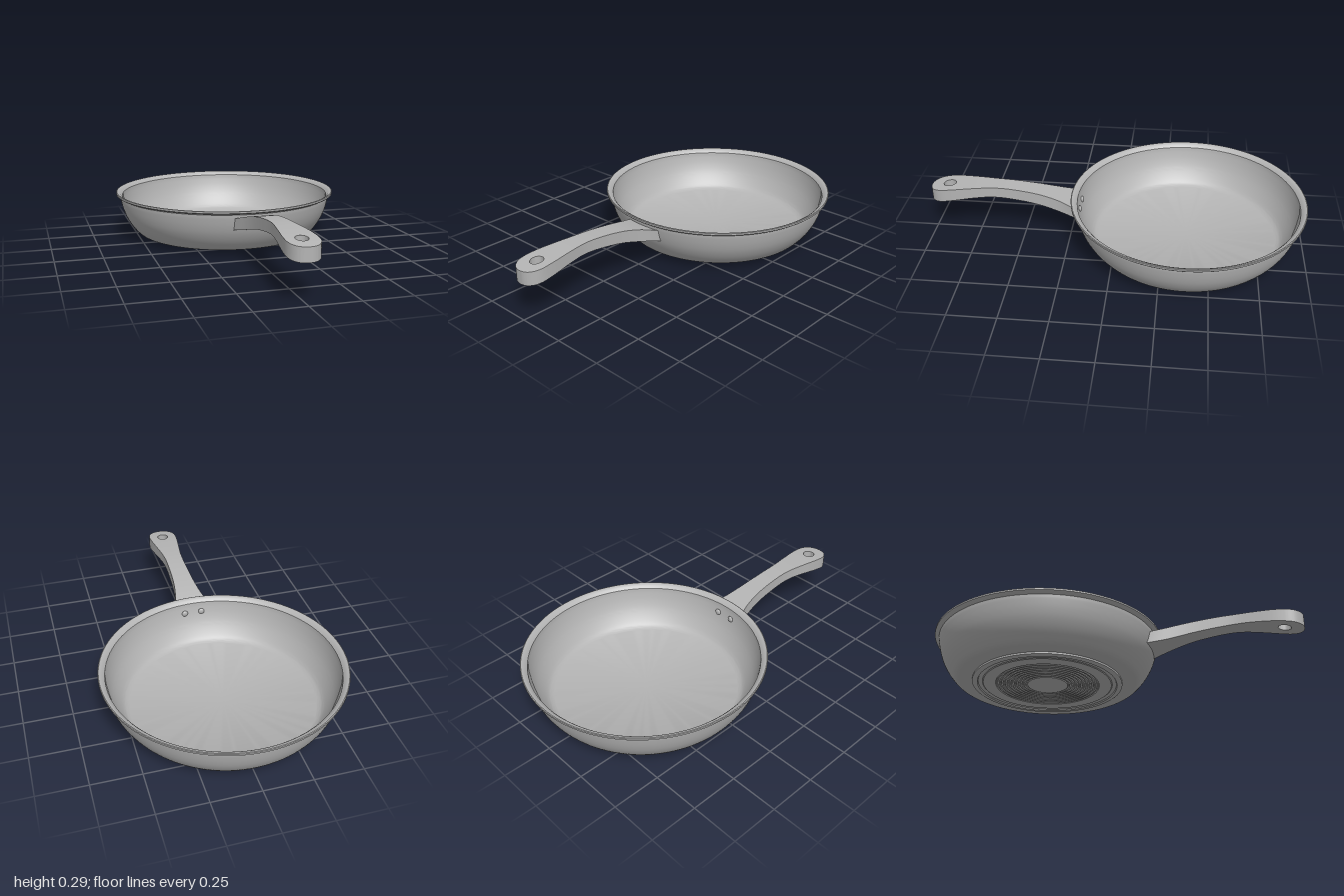
import * as THREE from 'three';
import { mergeGeometries, toCreasedNormals } from 'three/addons/utils/BufferGeometryUtils.js';

const PAN_Z = -0.38;
const metal = new THREE.MeshStandardMaterial({ color: 0xb4b4b4 });
metal.name = 'grey metal';

const mesh = (name, geometry) => {
  const m = new THREE.Mesh(geometry, metal);
  m.name = name;
  return m;
};

// Smooth run of profile points through a few key points
const smooth = (pts, n) =>
  new THREE.SplineCurve(pts.map(p => new THREE.Vector2(...p))).getPoints(n);

const lathe = (points, crease) => toCreasedNormals(new THREE.LatheGeometry(points, 128), crease);

// Smooth interpolation of [position, value] pairs
function sample(pts, z) {
  const last = pts.length - 1;
  const slope = k => {
    const a = pts[Math.max(k - 1, 0)], b = pts[Math.min(k + 1, last)];
    return (b[1] - a[1]) / (b[0] - a[0]);
  };
  let i = 0;
  while (i < last - 1 && z > pts[i + 1][0]) i++;
  const [z0, v0] = pts[i], [z1, v1] = pts[i + 1];
  const h = z1 - z0, t = (z - z0) / h, t2 = t * t, t3 = t2 * t;
  return (2 * t3 - 3 * t2 + 1) * v0 + (t3 - 2 * t2 + t) * h * slope(i)
    + (3 * t2 - 2 * t3) * v1 + (t3 - t2) * h * slope(i + 1);
}

// Surface patch from a rows x cols grid of points
function grid(rows, cols, point, flip) {
  const pos = [], idx = [];
  for (let i = 0; i < rows; i++) for (let j = 0; j < cols; j++) pos.push(...point(i, j));
  for (let i = 0; i < rows - 1; i++) for (let j = 0; j < cols - 1; j++) {
    const a = i * cols + j, b = a + cols, c = b + 1, d = a + 1;
    if (flip) idx.push(a, c, b, a, d, c);
    else idx.push(a, b, c, a, c, d);
  }
  const g = new THREE.BufferGeometry();
  g.setAttribute('position', new THREE.Float32BufferAttribute(pos, 3));
  g.setIndex(idx);
  return g;
}

function panBody() {
  const outer = smooth([[0.46, 0.014], [0.482, 0.018], [0.505, 0.033], [0.54, 0.074],
    [0.567, 0.12], [0.584, 0.165], [0.595, 0.21], [0.598, 0.232]], 32);
  const inner = smooth([[0.586, 0.236], [0.582, 0.21], [0.57, 0.165], [0.552, 0.12],
    [0.526, 0.075], [0.5, 0.042], [0.475, 0.028]], 28);
  const rim = [[0.605, 0.237], [0.615, 0.24], [0.62, 0.245], [0.62, 0.254], [0.616, 0.256],
    [0.608, 0.254], [0.596, 0.247]].map(p => new THREE.Vector2(...p));
  return lathe([new THREE.Vector2(0, 0.014), ...outer, ...rim, ...inner,
    new THREE.Vector2(0, 0.027)], 0.6);
}

// Base plate with concentric grooves underneath
function basePlate() {
  const p = [[0, 0.003], [0.108, 0.003]];
  for (let k = 0; k < 9; k++) {
    const r = 0.11 + k * 0.02;
    p.push([r, 0.009], [r + 0.006, 0.009], [r + 0.009, 0.003], [r + 0.018, 0.003]);
  }
  p.push([0.345, 0.003], [0.35, 0.007], [0.372, 0.007], [0.376, 0], [0.398, 0],
    [0.404, 0.004], [0.404, 0.015]);
  return lathe(p.map(q => new THREE.Vector2(...q)), 0.4);
}

// Arched handle with a hanging hole, one half mirrored to the other
function handleGeometry() {
  const topLine = [[0.2, 0.21], [0.25, 0.227], [0.33, 0.249], [0.42, 0.267], [0.55, 0.283],
    [0.66, 0.288], [0.8, 0.284], [0.9, 0.276], [1, 0.262]];
  const bottomLine = [[0.2, 0.147], [0.3, 0.175], [0.45, 0.209], [0.65, 0.231], [0.8, 0.222], [1, 0.192]];
  const halfWidth = [[0.2, 0.106], [0.24, 0.09], [0.3, 0.072], [0.4, 0.057], [0.55, 0.05],
    [0.65, 0.051], [0.75, 0.063], [0.85, 0.076], [0.91, 0.079], [1, 0.079]];
  const holeZ = 0.9, holeR = 0.034, cols = 9, holeStart = 28, holeSteps = 16, tipSteps = 16;

  const rows = [];
  const z0 = holeZ - holeR, z1 = holeZ + holeR;
  for (let i = 0; i < holeStart; i++) rows.push(0.2 + (z0 - 0.2) * i / holeStart);
  for (let i = 0; i < holeSteps; i++) rows.push(holeZ - holeR * Math.cos(Math.PI * i / holeSteps));
  for (let i = 0; i <= tipSteps; i++) rows.push(z1 + (1 - z1) * Math.sin(Math.PI / 2 * i / tipSteps));

  const xOut = z => {
    const t = Math.max(0, (z - 0.9) / 0.1);
    return sample(halfWidth, z) * Math.pow(Math.max(0, 1 - Math.pow(t, 2.4)), 0.45);
  };
  const xIn = z => 0.9 * Math.sqrt(Math.max(0, holeR ** 2 - (z - holeZ) ** 2));

  // The root follows the round wall of the pan
  const place = (x, z, upper) => {
    const k = Math.max(0, 1 - (z - 0.2) / 0.1);
    const reach = Math.sqrt((upper ? 0.586 : 0.573) ** 2 - x * x) - 0.58;
    return [x, sample(upper ? topLine : bottomLine, z), z + k * reach];
  };

  const parts = [];
  for (const s of [1, -1]) {
    const face = upper => (i, j) => {
      const z = rows[i], a = xIn(z);
      return place(s * (a + (xOut(z) - a) * j / (cols - 1)), z, upper);
    };
    parts.push(
      grid(rows.length, cols, face(true), s < 0),
      grid(rows.length, cols, face(false), s > 0),
      grid(rows.length, 2, (i, j) => place(s * xOut(rows[i]), rows[i], j === 1), s > 0),
      grid(holeSteps + 1, 2, (i, j) => {
        const z = rows[holeStart + i];
        return place(s * xIn(z), z, j === 1);
      }, s < 0));
  }
  return toCreasedNormals(mergeGeometries(parts), 0.6);
}

export function createModel() {
  const model = new THREE.Group();
  model.name = 'fryingPan';

  const pan = new THREE.Group();
  pan.name = 'pan';
  pan.position.z = PAN_Z;
  pan.add(mesh('bowl', panBody()), mesh('basePlate', basePlate()));

  // Domed rivet heads on the inner wall
  for (const s of [1, -1]) {
    const rivet = mesh(s > 0 ? 'leftRivet' : 'rightRivet', new THREE.SphereGeometry(0.017, 20, 14));
    rivet.scale.z = 0.55;
    rivet.position.set(s * 0.047, 0.185, Math.sqrt(0.574 ** 2 - 0.047 ** 2));
    rivet.rotation.y = s * 0.08;
    pan.add(rivet);
  }

  model.add(pan, mesh('handle', handleGeometry()));
  return model;
}
